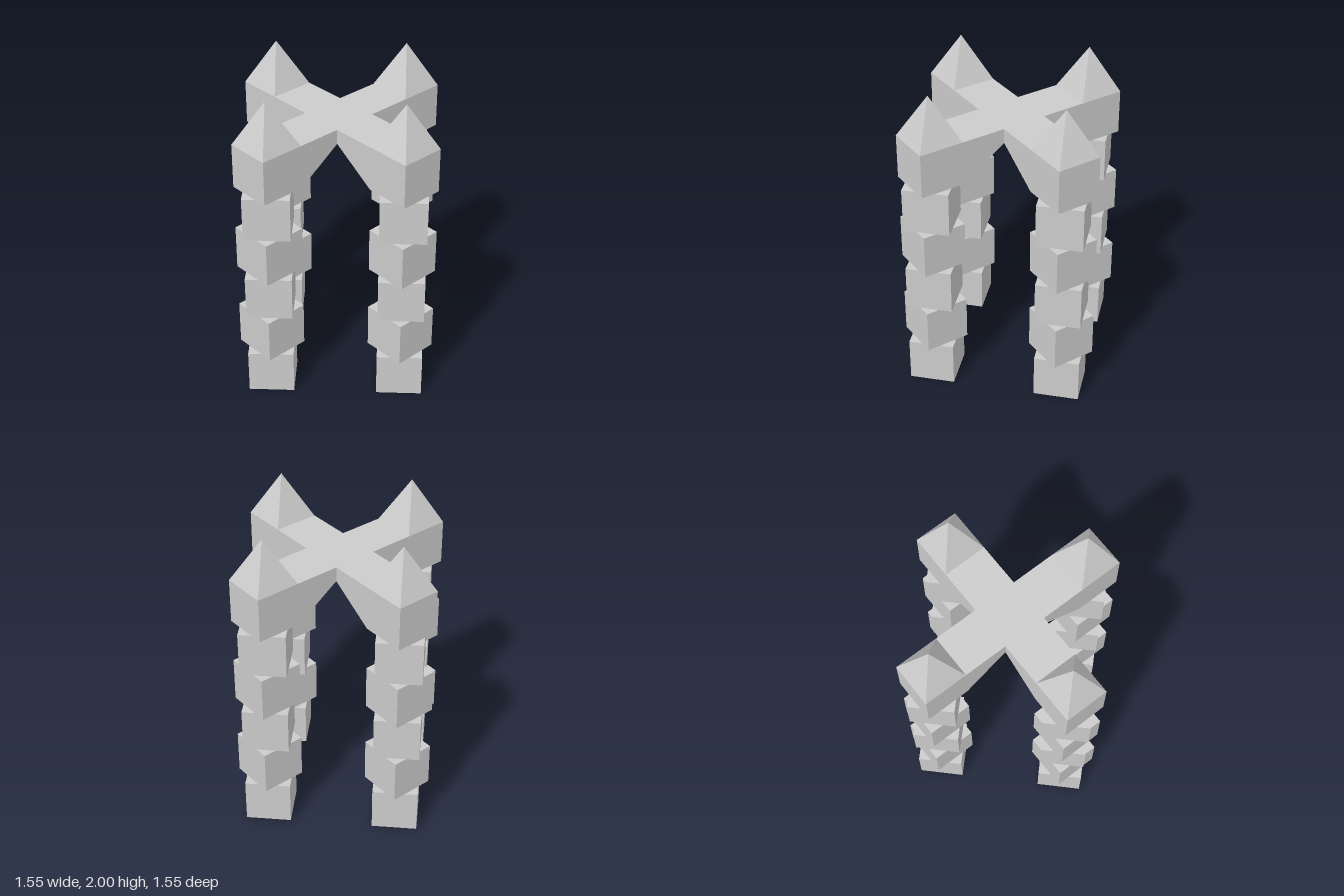
import * as THREE from 'three';

const U = 2 / 7; // edge of one block; the whole is seven blocks high

export function createModel() {
  const model = new THREE.Group();
  model.name = 'fourPillarArch';
  const material = new THREE.MeshStandardMaterial({ color: 0xcccccc, flatShading: true });

  const block = new THREE.BoxGeometry(U, U, U);
  const spire = new THREE.ConeGeometry(U / Math.SQRT2, U, 4).rotateY(Math.PI / 4);

  // wedge arm: full block height at the pillar, thinning to an edge at the centre
  const profile = new THREE.Shape([
    new THREE.Vector2(0, 6 * U),
    new THREE.Vector2(1.5 * U, 5 * U),
    new THREE.Vector2(1.5 * U, 6 * U),
  ]);
  const arm = new THREE.ExtrudeGeometry(profile, { depth: U, bevelEnabled: false }).translate(0, 0, -U / 2);

  const add = (parent, name, geometry, x, y, turn = 0) => {
    const mesh = new THREE.Mesh(geometry, material);
    mesh.name = name;
    mesh.position.set(x, y, 0);
    mesh.rotation.y = turn;
    parent.add(mesh);
  };

  // four identical pillars with their arms, a quarter turn apart
  ['left', 'back', 'right', 'front'].forEach((side, i) => {
    const pillar = new THREE.Group();
    pillar.name = side + 'Pillar';
    pillar.rotation.y = (i * Math.PI) / 2;

    // stacked blocks, every other one turned by 45 degrees
    for (let k = 0; k < 6; k++) {
      add(pillar, 'block' + (k + 1), block, 2 * U, (k + 0.5) * U, k % 2 ? 0 : Math.PI / 4);
    }
    add(pillar, 'spire', spire, 2 * U, 6.5 * U);
    add(pillar, 'archArm', arm, 0, 0);
    model.add(pillar);
  });

  return model;
}
